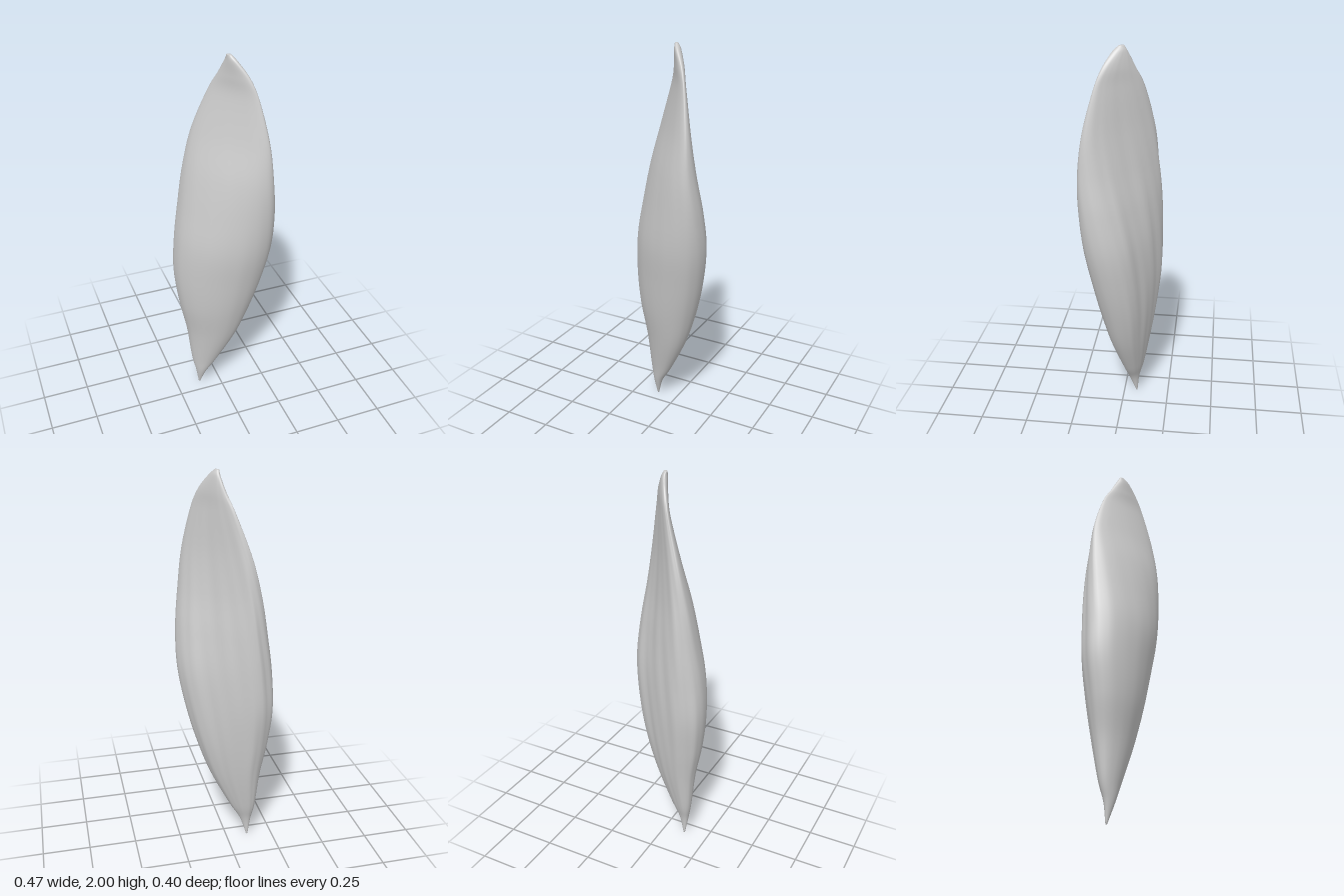
import * as THREE from 'three';

// Cross-sections from the bottom tip up:
// height, x min, x max, z min, z max, half thickness across the diagonal
const SECTIONS = [
  [0.00, -0.121, -0.113, -0.074, -0.066, 0.004],
  [0.10, -0.137, -0.08, -0.085, -0.03, 0.024],
  [0.20, -0.156, -0.02, -0.112, 0.00, 0.05],
  [0.40, -0.178, 0.08, -0.15, 0.06, 0.095],
  [0.60, -0.215, 0.15, -0.183, 0.11, 0.135],
  [0.80, -0.235, 0.20, -0.205, 0.15, 0.155],
  [1.00, -0.225, 0.23, -0.205, 0.185, 0.158],
  [1.20, -0.195, 0.227, -0.193, 0.20, 0.132],
  [1.40, -0.16, 0.205, -0.175, 0.20, 0.095],
  [1.60, -0.11, 0.18, -0.152, 0.175, 0.056],
  [1.80, -0.04, 0.14, -0.105, 0.125, 0.032],
  [1.90, -0.002, 0.108, -0.062, 0.088, 0.027],
  [1.97, 0.018, 0.066, -0.03, 0.045, 0.021],
  [2.00, 0.022, 0.042, -0.012, 0.014, 0.009],
];
const AROUND = 72;
const ROWS = 104;

function podGeometry() {
  const centre = new THREE.CatmullRomCurve3(SECTIONS.map(([y, x0, x1, z0, z1]) =>
    new THREE.Vector3((x0 + x1) / 2, y, (z0 + z1) / 2)), false, 'catmullrom', 0.5);
  const size = new THREE.CatmullRomCurve3(SECTIONS.map(([, x0, x1, z0, z1, h]) =>
    new THREE.Vector3((x1 - x0) / 2, (z1 - z0) / 2, h)), false, 'catmullrom', 0.5);

  const positions = [];
  const indices = [];
  for (let r = 0; r <= ROWS; r++) {
    const c = centre.getPoint(r / ROWS);
    const s = size.getPoint(r / ROWS);
    const a = s.x * s.x, b = s.y * s.y;
    // skew of the slanted ellipse that gives the wanted thickness
    const skew = Math.min((a + b) / 2 - s.z * s.z, 0.985 * s.x * s.y);
    const depth = Math.sqrt(b - skew * skew / a);
    const body = Math.sin(Math.PI * r / ROWS);
    for (let i = 0; i < AROUND; i++) {
      const t = i / AROUND * Math.PI * 2;
      // slanting grain, strong on the back and faint on the front
      const back = Math.max(0, -Math.sin(t));
      const grain = 0.02 * Math.sin(9 * t + 2.2 * c.y) + 0.014 * Math.sin(17 * t - 3 * c.y);
      const k = 1 + body * grain * (0.15 + back);
      // the back is pressed flat, most on its right-hand half
      const press = 1 - 0.22 * body * back * back * Math.max(0, 1 + 1.2 * Math.cos(t));
      const u = Math.cos(t) * k, v = Math.sin(t) * k * press;
      positions.push(c.x + s.x * u, c.y, c.z + skew / s.x * u + depth * v);
    }
  }
  for (let r = 0; r < ROWS; r++) {
    for (let i = 0; i < AROUND; i++) {
      const p = r * AROUND + i, q = r * AROUND + (i + 1) % AROUND;
      indices.push(p, p + AROUND, q, q, p + AROUND, q + AROUND);
    }
  }
  // close both tips
  const top = ROWS * AROUND;
  for (let i = 1; i < AROUND - 1; i++) {
    indices.push(0, i, i + 1, top, top + i + 1, top + i);
  }

  const geometry = new THREE.BufferGeometry();
  geometry.setAttribute('position', new THREE.Float32BufferAttribute(positions, 3));
  geometry.setIndex(indices);
  geometry.computeVertexNormals();
  return geometry;
}

export function createModel() {
  const group = new THREE.Group();
  const pod = new THREE.Mesh(podGeometry(), new THREE.MeshStandardMaterial({ color: 0xcccccc }));
  pod.name = 'pod';
  group.add(pod);
  return group;
}
